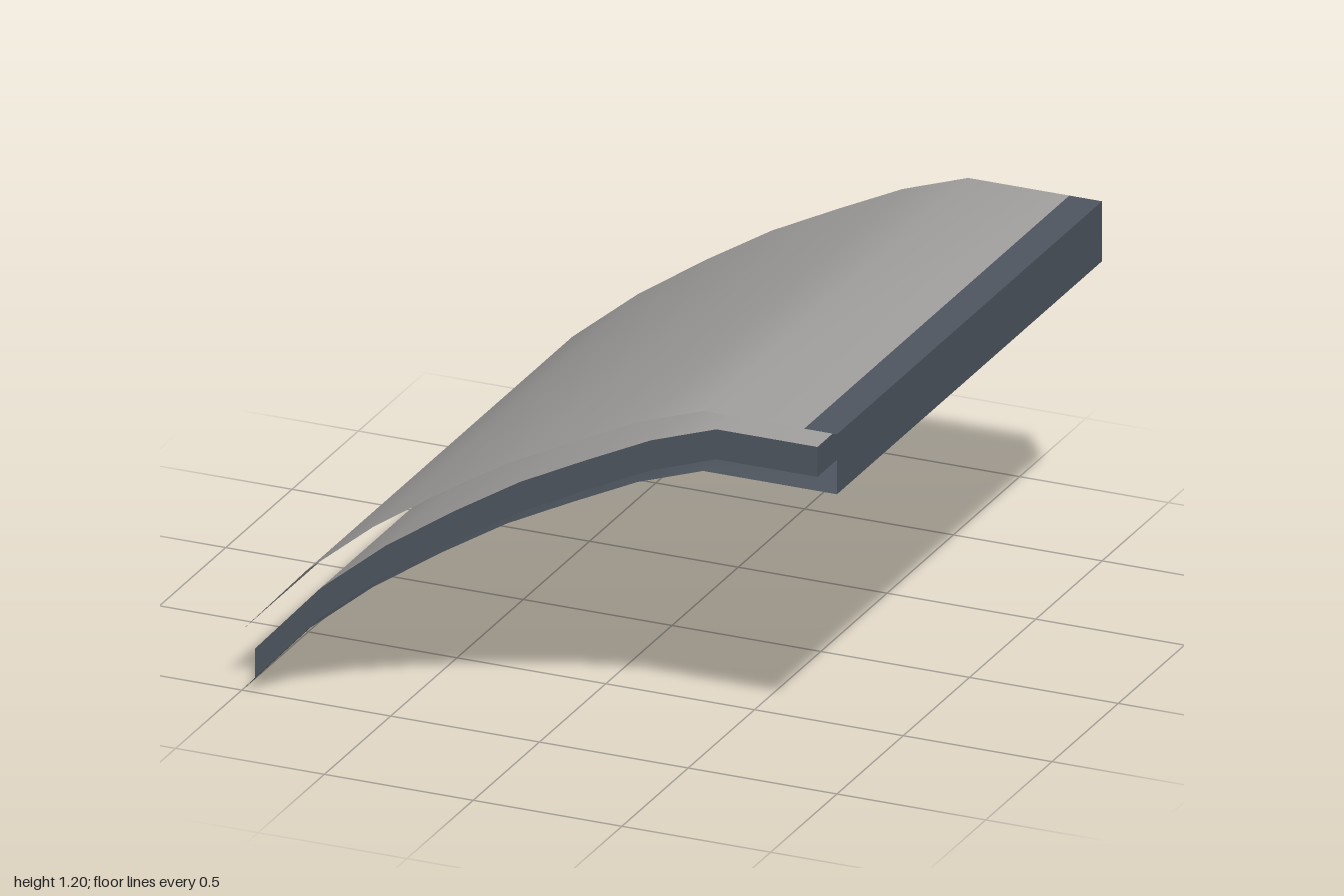
import * as THREE from 'three';

const frameMat = new THREE.MeshStandardMaterial({ color: 0x4f565f, side: THREE.DoubleSide });
frameMat.name = 'dark slate frame';
const sheetMat = new THREE.MeshStandardMaterial({ color: 0xa3a1a0, side: THREE.DoubleSide });
sheetMat.name = 'grey sheet';

// Curved run of the canopy (x, y along its underside)
const profile = [
  [-1, 0], [-0.78, 0.24], [-0.56, 0.42], [-0.33, 0.575], [-0.11, 0.71],
  [0.11, 0.82], [0.33, 0.925], [0.55, 1], [0.89, 1],
];

// Open strip spanning between two equally long rows of points
function ribbon(name, rowA, rowB, material) {
  const positions = [];
  const index = [];
  rowA.forEach((a, i) => {
    positions.push(...a, ...rowB[i]);
    if (i > 0) {
      const k = 2 * i;
      index.push(k - 2, k - 1, k, k - 1, k + 1, k);
    }
  });
  const geometry = new THREE.BufferGeometry();
  geometry.setAttribute('position', new THREE.Float32BufferAttribute(positions, 3));
  geometry.setIndex(index);
  geometry.computeVertexNormals();
  const mesh = new THREE.Mesh(geometry, material);
  mesh.name = name;
  return mesh;
}

// Profile raised by a height and placed at a depth
const row = (lift, z) => profile.map(([x, y]) => [x, y + lift, z]);

// Flat or upright strip running the full width between two (x, y) points
const crossStrip = (name, [x0, y0], [x1, y1], halfWidth) => ribbon(
  name,
  [[x0, y0, -halfWidth], [x1, y1, -halfWidth]],
  [[x0, y0, halfWidth], [x1, y1, halfWidth]],
  frameMat,
);

export function createModel() {
  const model = new THREE.Group();
  model.name = 'curvedCanopy';

  // Two curved skins, the inner one between the rails
  model.add(ribbon('upperSheet', row(0.2, -1), row(0.2, 1), sheetMat));
  model.add(ribbon('lowerSheet', row(0.1, -0.9), row(0.1, 0.9), sheetMat));

  // L-section rails along both curved edges
  for (const [side, s] of [['front', 1], ['back', -1]]) {
    const rail = new THREE.Group();
    rail.name = side + 'Rail';
    rail.add(ribbon('railWeb', row(0, 0.9 * s), row(0.1, 0.9 * s), frameMat));
    rail.add(ribbon('railFlange', row(0, 0.9 * s), row(0, s), frameMat));
    model.add(rail);
  }

  // Channel closing the high end
  const channel = new THREE.Group();
  channel.name = 'endChannel';
  channel.add(crossStrip('channelTop', [0.89, 1.2], [1, 1.2], 1));
  channel.add(crossStrip('channelFace', [1, 1.2], [1, 1], 1));
  channel.add(crossStrip('channelBottom', [1, 1], [0.89, 1], 1));
  channel.add(crossStrip('channelInnerWeb', [0.89, 1], [0.89, 1.1], 0.9));
  model.add(channel);

  return model;
}
